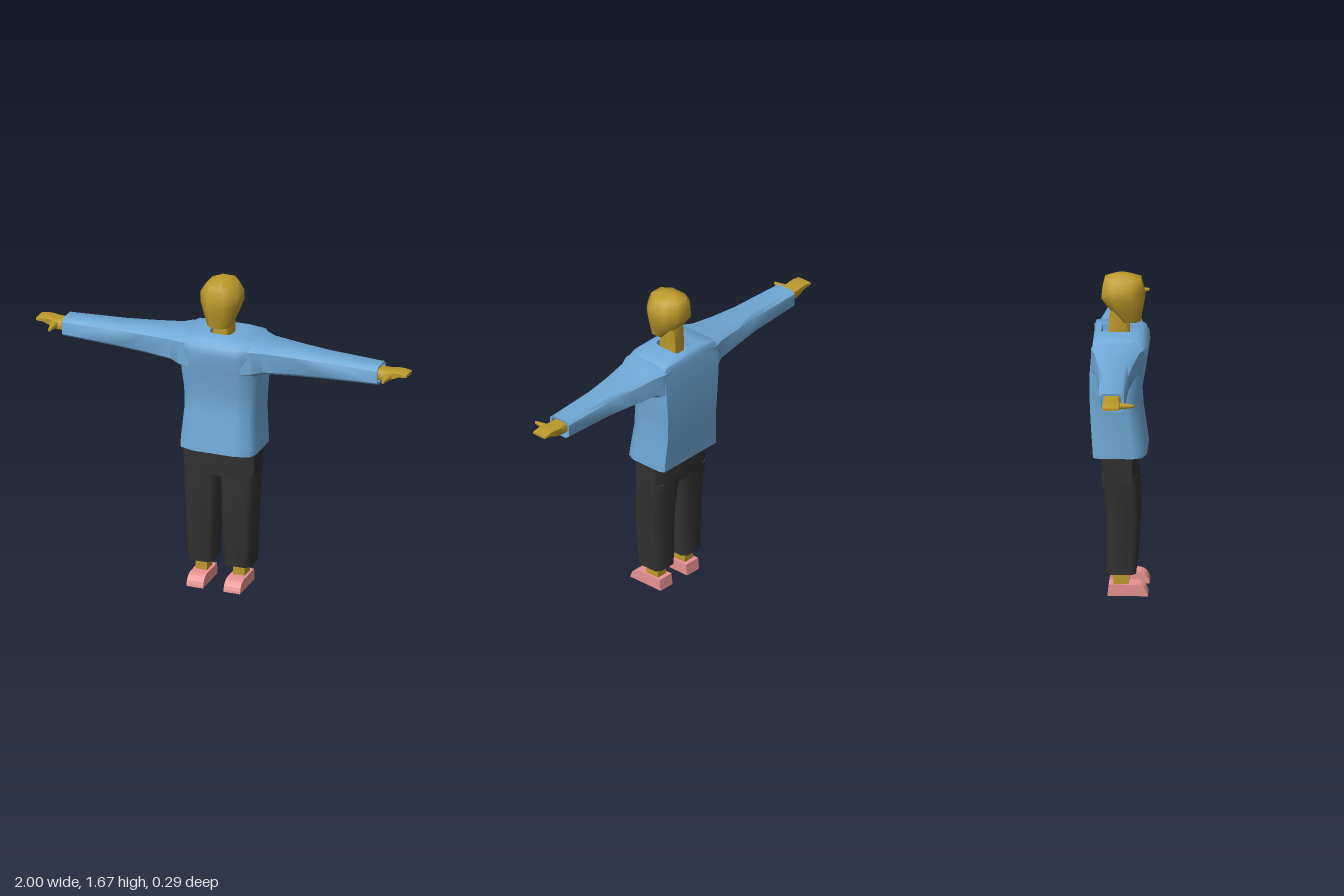
import * as THREE from 'three';
import { toCreasedNormals } from 'three/addons/utils/BufferGeometryUtils.js';

const material = (color) => new THREE.MeshStandardMaterial({ color, side: THREE.DoubleSide });
const SKIN = material(0xbd9a2b);
const SHIRT = material(0x70aad8);
const PANTS = material(0x323232);
const SHOE = material(0xe89292);

// Unit cross-sections, as [u, v] corners
const chamfered = (k) => [[1, -k], [1, k], [k, 1], [-k, 1], [-1, k], [-1, -k], [-k, -1], [k, -1]];
const square = [[1, -1], [1, 1], [-1, 1], [-1, -1]];
// Shirt body: softened front corners and a flat back
const torsoSection = [
  [1, -0.8], [1, 0.5], [0.9, 0.84], [0.55, 1], [0, 1], [-0.55, 1], [-0.9, 0.84],
  [-1, 0.5], [-1, -0.8], [-0.94, -1], [0, -1], [0.94, -1],
];

// Lofts a section through rings [position, uMin, uMax, vMin, vMax] along an axis.
// Axis y: u = x, v = z. Axis x: u = z, v = y. Axis z: u = y, v = x.
function loft(axis, section, rings, side = 1, crease = 0.8) {
  const n = section.length;
  const pos = [];
  const index = [];
  const put = (p, u, v) => {
    const [x, y, z] = { y: [u, p, v], x: [p, v, u], z: [v, u, p] }[axis];
    pos.push(x * side, y, z);
  };
  const tri = (a, b, c) => (side > 0 ? index.push(a, b, c) : index.push(a, c, b));
  for (const [p, u0, u1, v0, v1] of rings) {
    for (const [u, v] of section) {
      put(p, (u0 + u1) / 2 + (u * (u1 - u0)) / 2, (v0 + v1) / 2 + (v * (v1 - v0)) / 2);
    }
  }
  const last = rings.length - 1;
  for (let r = 0; r < last; r++) {
    for (let i = 0; i < n; i++) {
      const a = r * n + i;
      const b = r * n + ((i + 1) % n);
      tri(a, a + n, b);
      tri(b, a + n, b + n);
    }
  }
  // End caps
  for (const r of [0, last]) {
    const [p, u0, u1, v0, v1] = rings[r];
    const centre = pos.length / 3;
    put(p, (u0 + u1) / 2, (v0 + v1) / 2);
    for (let i = 0; i < n; i++) {
      const a = r * n + i;
      const b = r * n + ((i + 1) % n);
      if (r === 0) tri(centre, a, b);
      else tri(centre, b, a);
    }
  }
  const geometry = new THREE.BufferGeometry();
  geometry.setAttribute('position', new THREE.Float32BufferAttribute(pos, 3));
  geometry.setIndex(index);
  return toCreasedNormals(geometry, crease);
}

// Shoe side profile with a rounded toe, extruded across the width
function shoeGeometry(side) {
  const s = new THREE.Shape();
  s.moveTo(-0.06, 0);
  s.lineTo(0.145, 0);
  s.lineTo(0.143, 0.012);
  s.quadraticCurveTo(0.13, 0.058, 0.085, 0.06);
  s.lineTo(-0.053, 0.06);
  s.closePath();
  const g = new THREE.ExtrudeGeometry(s, { depth: 0.09, bevelEnabled: false, curveSegments: 5 });
  g.rotateY(-Math.PI / 2);
  g.translate(0.1 * side + 0.045, 0, 0);
  return g;
}

export function createModel() {
  const model = new THREE.Group();
  const add = (name, geometry, mat) => {
    const mesh = new THREE.Mesh(geometry, mat);
    mesh.name = name;
    model.add(mesh);
  };

  // Head and neck
  add('head', loft('y', chamfered(0.46), [
    [1.425, -0.058, 0.058, 0.0, 0.105],
    [1.48, -0.079, 0.079, -0.045, 0.112],
    [1.55, -0.1, 0.1, -0.095, 0.125],
    [1.6, -0.101, 0.101, -0.09, 0.115],
    [1.648, -0.072, 0.072, -0.078, 0.104],
    [1.67, -0.025, 0.025, -0.03, 0.045],
  ], 1, 1.0), SKIN);
  add('neck', loft('y', chamfered(0.7), [
    [1.33, -0.047, 0.047, -0.06, 0.047],
    [1.4, -0.047, 0.047, -0.058, 0.046],
    [1.5, -0.05, 0.05, -0.05, 0.045],
  ]), SKIN);

  // Shirt body, rising to the shoulders and a sunken collar
  add('shirtBody', loft('y', torsoSection, [
    [0.75, -0.205, 0.205, -0.13, 0.14],
    [0.8, -0.203, 0.203, -0.133, 0.133],
    [0.95, -0.192, 0.192, -0.143, 0.112],
    [1.05, -0.196, 0.196, -0.147, 0.106],
    [1.2, -0.208, 0.208, -0.147, 0.132],
    [1.29, -0.21, 0.21, -0.14, 0.146],
    [1.335, -0.208, 0.208, -0.135, 0.142],
    [1.36, -0.19, 0.19, -0.13, 0.115],
    [1.372, -0.1, 0.1, -0.12, 0.085],
    [1.378, -0.062, 0.062, -0.095, 0.062],
    [1.345, -0.058, 0.058, -0.09, 0.058],
  ], 1, 0.9), SHIRT);

  // Trouser seat
  add('trouserSeat', loft('y', chamfered(0.72), [
    [0.61, -0.187, 0.187, -0.085, 0.09],
    [0.68, -0.19, 0.19, -0.092, 0.092],
    [0.77, -0.19, 0.19, -0.09, 0.092],
  ], 1, 1.0), PANTS);

  for (const side of [1, -1]) {
    const label = side > 0 ? 'left' : 'right';

    // Sleeve with a hollow cuff
    add(`${label}Sleeve`, loft('x', chamfered(0.68), [
      [0.14, -0.135, 0.13, 1.17, 1.362],
      [0.2, -0.14, 0.126, 1.185, 1.36],
      [0.25, -0.119, 0.104, 1.2, 1.349],
      [0.4, -0.099, 0.08, 1.207, 1.338],
      [0.55, -0.081, 0.064, 1.213, 1.33],
      [0.84, -0.072, 0.056, 1.223, 1.319],
      [0.85, -0.072, 0.056, 1.223, 1.32],
      [0.848, -0.06, 0.044, 1.234, 1.309],
      [0.79, -0.06, 0.044, 1.234, 1.309],
    ], side, 0.9), SHIRT);

    // Hand with a flat palm and one thumb
    add(`${label}Hand`, loft('x', chamfered(0.75), [
      [0.78, -0.045, 0.035, 1.245, 1.3],
      [0.86, -0.046, 0.035, 1.245, 1.3],
      [0.9, -0.047, 0.035, 1.25, 1.3],
      [0.93, -0.048, 0.035, 1.264, 1.305],
      [0.96, -0.048, 0.035, 1.278, 1.303],
      [1.0, -0.048, 0.035, 1.282, 1.295],
    ], side, 1.0), SKIN);
    add(`${label}Thumb`, loft('z', chamfered(0.6), [
      [0.02, 1.255, 1.292, 0.878, 0.925],
      [0.045, 1.26, 1.289, 0.886, 0.916],
      [0.08, 1.264, 1.284, 0.889, 0.911],
      [0.107, 1.267, 1.281, 0.894, 0.907],
    ], side, 1.0), SKIN);

    // Trouser leg with a hollow hem
    add(`${label}TrouserLeg`, loft('y', chamfered(0.7), [
      [0.15, 0.045, 0.157, -0.052, 0.072],
      [0.12, 0.045, 0.157, -0.052, 0.072],
      [0.12, 0.032, 0.169, -0.065, 0.085],
      [0.4, 0.019, 0.182, -0.062, 0.1],
      [0.56, 0.013, 0.186, -0.077, 0.094],
      [0.61, 0.007, 0.187, -0.085, 0.09],
      [0.64, 0, 0.187, -0.088, 0.09],
    ], side, 1.0), PANTS);

    // Ankle and shoe
    add(`${label}Ankle`, loft('y', square, [
      [0.05, 0.07, 0.132, -0.03, 0.048],
      [0.2, 0.07, 0.132, -0.03, 0.048],
    ], side), SKIN);
    add(`${label}Shoe`, shoeGeometry(side), SHOE);
  }
  return model;
}
